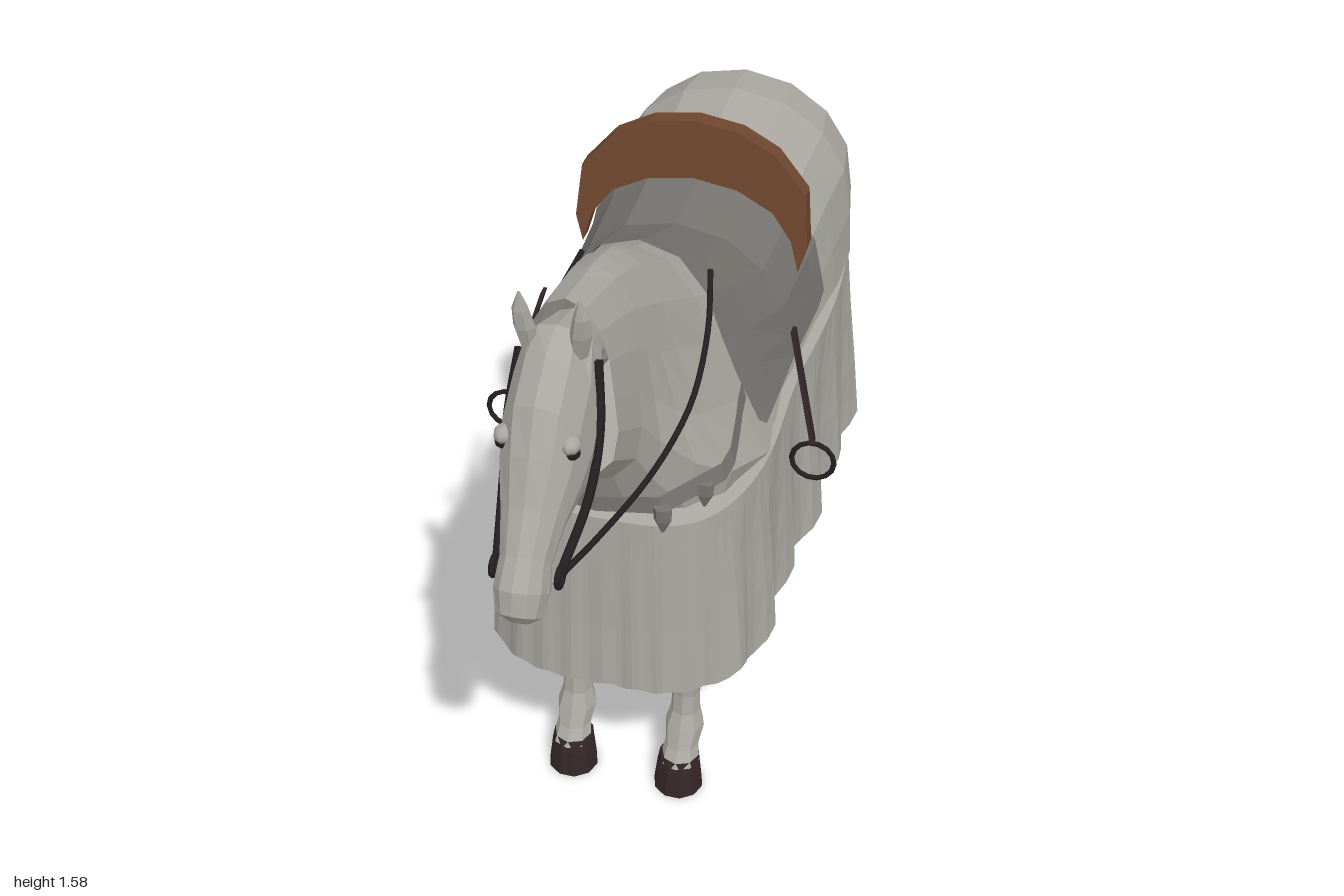
import * as THREE from 'three';

const mat = (name, color) => {
  const m = new THREE.MeshStandardMaterial({ color, side: THREE.DoubleSide });
  m.name = name;
  return m;
};
const V = (x, y, z) => new THREE.Vector3(x, y, z);

// Faceted skin over rows of points; closed rows wrap round, capped rows are filled at both ends.
function skin(rows, closed = true, caps = closed) {
  const pos = [];
  const tri = (a, b, c) => pos.push(...a.toArray(), ...b.toArray(), ...c.toArray());
  const n = rows[0].length;
  for (let i = 0; i < rows.length - 1; i++) {
    for (let j = 0; j < (closed ? n : n - 1); j++) {
      const k = (j + 1) % n, a = rows[i][j], b = rows[i][k], c = rows[i + 1][k], d = rows[i + 1][j];
      tri(a, b, c);
      tri(a, c, d);
    }
  }
  if (caps) {
    const first = rows[0], last = rows[rows.length - 1];
    for (let j = 1; j < n - 1; j++) {
      tri(first[0], first[j + 1], first[j]);
      tri(last[0], last[j], last[j + 1]);
    }
  }
  // Turn the faces outward
  let vol = 0;
  const A = V(), B = V(), C = V();
  for (let i = 0; i < pos.length; i += 9) {
    A.fromArray(pos, i); B.fromArray(pos, i + 3); C.fromArray(pos, i + 6);
    vol += A.dot(B.cross(C));
  }
  if (vol < 0) {
    for (let i = 0; i < pos.length; i += 9) {
      for (let k = 0; k < 3; k++) [pos[i + 3 + k], pos[i + 6 + k]] = [pos[i + 6 + k], pos[i + 3 + k]];
    }
  }
  const g = new THREE.BufferGeometry();
  g.setAttribute('position', new THREE.Float32BufferAttribute(pos, 3));
  g.computeVertexNormals();
  return g;
}

// Horizontal ring for legs, hooves and tail
const ring = (x, y, z, rx, rz, n = 8) => Array.from({ length: n }, (_, i) => {
  const a = (i / n) * Math.PI * 2;
  return V(x + rx * Math.cos(a), y, z + rz * Math.sin(a));
});

// Body stations: z, top, bottom, upper half width, lower half width
const BODY = [
  [0.645, 1.52, 1.11, 0.085, 0.095], [0.54, 1.5, 1.03, 0.1, 0.11], [0.48, 1.49, 0.92, 0.108, 0.13],
  [0.42, 1.475, 0.8, 0.118, 0.185], [0.35, 1.45, 0.72, 0.13, 0.24], [0.2, 1.36, 0.68, 0.165, 0.28],
  [0.08, 1.3, 0.66, 0.2, 0.283], [-0.1, 1.22, 0.66, 0.24, 0.275], [-0.3, 1.225, 0.68, 0.25, 0.28],
  [-0.45, 1.28, 0.7, 0.267, 0.288], [-0.6, 1.295, 0.72, 0.28, 0.29], [-0.72, 1.28, 0.74, 0.26, 0.265],
  [-0.82, 1.22, 0.76, 0.213, 0.218], [-0.885, 1.13, 0.8, 0.145, 0.152], [-0.925, 1.03, 0.87, 0.065, 0.075],
  [-0.93, 0.98, 0.94, 0.01, 0.01],
];
const T = [0, 0.04, 0.15, 0.3, 0.5, 0.68, 0.85, 0.97, 1];

function station(z) {
  const i = Math.max(1, BODY.findIndex((r) => r[0] <= z));
  const a = BODY[i - 1], b = BODY[i], f = (a[0] - z) / (a[0] - b[0]);
  return a.map((v, k) => v + (b[k] - v) * f);
}
function halfWidth([, , , u, l], t) {
  const w = [0, 0.42 * u, 0.75 * u, 0.95 * u, 0.6 * u + 0.4 * l, l, 0.88 * l, 0.45 * l, 0];
  const i = Math.max(1, T.findIndex((v) => v >= t));
  return w[i - 1] + ((w[i] - w[i - 1]) * (t - T[i - 1])) / (T[i] - T[i - 1]);
}

export function createModel() {
  const grey = mat('pale grey', 0xa9a79f);
  const dark = mat('dark grey cloth', 0x777470);
  const hoof = mat('dark hoof', 0x332527);
  const leather = mat('brown leather', 0x6e462e);
  const tack = mat('black tack', 0x241f21);
  const model = new THREE.Group();
  const add = (name, geo, material, parent = model) => {
    const m = new THREE.Mesh(geo, material);
    m.name = name;
    parent.add(m);
    return m;
  };
  const tube = (pts, r) => new THREE.TubeGeometry(new THREE.CatmullRomCurve3(pts), 24, r, 6);

  // Body and neck cover, open behind the head
  add('body', skin(BODY.map((r) => {
    const at = (t, s) => V(s * halfWidth(r, t), r[1] + (r[2] - r[1]) * t, r[0]);
    return [...T.map((t) => at(t, 1)), ...T.slice(1, -1).reverse().map((t) => at(t, -1))];
  }), true, false), grey);

  // Saddle cloth hugging the back, with rounded lower corners
  add('saddleCloth', skin([[0.18, 0.96], [0.155, 0.935], [0.08, 0.93], [-0.1, 0.93], [-0.3, 0.93], [-0.345, 0.95]]
    .map(([z, hem]) => {
      const r = station(z), end = (r[1] - hem) / (r[1] - r[2]);
      const half = [0, 0.04, 0.15, 0.3, 0.42, end];
      const at = (t, s) => V(s * (halfWidth(r, t) + (t ? 0.012 : 0)), r[1] + (r[2] - r[1]) * t + 0.01 * (1 - t), z);
      return [...half.slice(1).reverse().map((t) => at(t, -1)), ...half.map((t) => at(t, 1))];
    }), false), dark);

  // Pleated skirt: squarer in front, rounder behind, drawn in at the girth
  const outline = [];
  for (let i = 0; i < 240; i++) {
    const a = (i / 240) * Math.PI * 2, c = Math.cos(a), s = Math.sin(a), e = s > 0 ? 0.54 : 0.64;
    outline.push(V(Math.sign(c) * Math.abs(c) ** e, 0, Math.sign(s) * Math.abs(s) ** e * 0.705));
  }
  const N = 144;
  const plan = new THREE.CatmullRomCurve3(outline, true).getSpacedPoints(N).slice(0, N);
  // Rows: height, half width, length scale, pleat depth
  const skirtRows = [[0.905, 0.24, 0.88, 0], [0.89, 0.3, 0.995, 0], [0.76, 0.308, 1, 0.01],
    [0.6, 0.319, 1.005, 0.018], [0.445, 0.327, 1.015, 0.024]];
  add('skirt', skin(skirtRows.map(([y, w, l, d], k) => plan.map((p, i) => {
    const side = THREE.MathUtils.smoothstep(Math.abs(p.x), 0.5, 0.95);
    const girth = 1 - 0.06 * Math.exp(-(((p.z - 0.16) / 0.2) ** 2));
    const fold = Math.sin(i * 1.27) * 0.65 + Math.sin(i * 0.47 + 1) * 0.4;
    const drop = k === 4 ? 0.014 * (0.3 + 0.7 * side) * Math.sin(i * 1.27 + 0.6) : 0;
    return V(p.x * (w * girth + side * d * fold), y + drop, -0.213 + p.z * l + (1 - side) * d * fold * 0.2);
  })), true, false), grey);

  // Chest strap following the shoulders, then crossing the chest
  const hug = (z, y) => {
    const r = station(z);
    return [halfWidth(r, (r[1] - y) / (r[1] - r[2])) + 0.016, y, z];
  };
  const strap = [0, 1, 2, 3, 4, 5, 6].map((i) => hug(0.18 + i * 0.04, 1.035 - i * 0.012));
  strap.push([0.13, 0.945, 0.482], [0, 0.935, 0.497]);
  const path = [...strap, ...strap.slice(0, -1).reverse().map(([x, y, z]) => [-x, y, z])];
  add('chestStrap', skin([0.02, -0.02].map((d) => path.map(([x, y, z]) => V(x - Math.sign(x) * d * 0.25, y + d, z))), false), dark);

  // Head: front and back edge of each slice, then half width
  const HEAD = [
    [0.6, 1.47, 0.52, 1.28, 0.055],
    [0.7, 1.5, 0.62, 1.36, 0.07], [0.76, 1.475, 0.64, 1.2, 0.083], [0.83, 1.415, 0.7, 1.15, 0.084],
    [0.87, 1.33, 0.76, 1.15, 0.076], [0.905, 1.245, 0.825, 1.135, 0.06], [0.95, 1.17, 0.868, 1.09, 0.048],
    [0.99, 1.12, 0.88, 1.05, 0.052], [0.998, 1.07, 0.92, 1.017, 0.044], [0.975, 1.035, 0.945, 1.015, 0.02],
  ];
  add('head', skin(HEAD.map(([fz, fy, bz, by, w]) => Array.from({ length: 12 }, (_, i) => {
    const a = (i / 12) * Math.PI * 2, f = (1 + Math.cos(a)) / 2;
    return V(w * Math.sin(a), by + (fy - by) * f, bz + (fz - bz) * f);
  }))), grey);

  // Legs: height, z, half width, half depth
  const FRONT = [[0.75, 0.25, 0.08, 0.1], [0.5, 0.26, 0.06, 0.058], [0.42, 0.262, 0.048, 0.045],
    [0.36, 0.262, 0.042, 0.04], [0.24, 0.264, 0.032, 0.033], [0.19, 0.268, 0.034, 0.035],
    [0.15, 0.275, 0.045, 0.046], [0.11, 0.298, 0.038, 0.04], [0.075, 0.318, 0.045, 0.045]];
  const REAR = [[0.8, -0.68, 0.1, 0.13], [0.58, -0.74, 0.06, 0.075], [0.46, -0.722, 0.05, 0.056],
    [0.38, -0.708, 0.041, 0.044], [0.26, -0.696, 0.033, 0.036], [0.2, -0.69, 0.035, 0.037],
    [0.15, -0.685, 0.045, 0.048], [0.11, -0.663, 0.038, 0.04], [0.075, -0.643, 0.045, 0.045]];

  for (const s of [1, -1]) {
    const side = s > 0 ? 'left' : 'right';
    for (const [name, rows] of [['FrontLeg', FRONT], ['RearLeg', REAR]]) {
      const z = rows[8][1];
      add(side + name, skin(rows.map(([y, rz, w, d]) => ring(s * 0.128, y, rz, w, d))), grey);
      add(side + name + 'Hoof', skin([ring(s * 0.126, 0.086, z - 0.006, 0.046, 0.045, 10),
        ring(s * 0.126, 0.06, z, 0.05, 0.05, 10), ring(s * 0.126, 0, z + 0.004, 0.057, 0.057, 10)]), hoof);
    }

    // Ear
    add(side + 'Ear', skin([[1.45, 0.047, 0.015], [1.5, 0.052, 0.021], [1.54, 0.056, 0.016], [1.58, 0.055, 0.002]]
      .map(([y, x, r], i) => ring(s * x, y, 0.71 + i * 0.007, r, r, 6))), grey);

    // Eye under a brow
    const eye = add(side + 'Eye', new THREE.SphereGeometry(0.016, 8, 6), tack);
    eye.position.set(s * 0.064, 1.322, 0.822);
    const brow = add(side + 'Brow', new THREE.SphereGeometry(0.024, 8, 6), grey);
    brow.position.set(s * 0.062, 1.336, 0.82);
    brow.scale.set(0.8, 0.7, 1);

    // Bridle, bit ring and rein
    add(side + 'CheekStrap', tube([V(s * 0.074, 1.43, 0.69), V(s * 0.087, 1.31, 0.73), V(s * 0.082, 1.2, 0.785),
      V(s * 0.06, 1.1, 0.9)], 0.009), tack);
    const bit = add(side + 'BitRing', new THREE.TorusGeometry(0.019, 0.006, 6, 12), tack);
    bit.position.set(s * 0.062, 1.1, 0.905);
    bit.rotation.y = Math.PI / 2;
    add(side + 'Rein', tube([V(s * 0.062, 1.1, 0.9), V(s * 0.09, 1.08, 0.75), V(s * 0.125, 1.07, 0.56),
      V(s * 0.152, 1.105, 0.46), V(s * 0.168, 1.15, 0.38), V(s * 0.162, 1.22, 0.25), V(s * 0.135, 1.28, 0.13)], 0.006), tack);

    // Stirrup leather and ring
    const top = V(s * 0.278, 1.055, -0.03), low = V(s * 0.345, 0.82, 0.04);
    add(side + 'StirrupLeather', skin([top, low].map((p) => [[1, 1], [1, -1], [-1, -1], [-1, 1]]
      .map(([a, b]) => V(p.x + a * 0.004, p.y, p.z + b * 0.012)))), hoof);
    const stirrup = add(side + 'Stirrup', new THREE.TorusGeometry(0.047, 0.006, 6, 14), tack);
    stirrup.position.set(s * 0.347, 0.77, 0.04);

    // Strap pendants
    for (const [x, y, z] of [[0.135, 0.945, 0.488], hug(0.41, 0.965)]) {
      add(side + 'Pendant', skin([ring(s * x, y, z, 0.02, 0.014, 6), ring(s * x, y - 0.03, z, 0.018, 0.014, 6),
        ring(s * x, y - 0.06, z, 0.004, 0.004, 6)]), dark);
    }
  }

  // Curved saddle back, leaning to the rear
  const shape = new THREE.Shape();
  [[-0.245, 1.08], [-0.262, 1.14], [-0.25, 1.26], [-0.18, 1.34], [-0.1, 1.38], [0, 1.395], [0.1, 1.38],
    [0.18, 1.34], [0.25, 1.26], [0.262, 1.14], [0.245, 1.08], [0.225, 1.15], [0.18, 1.21], [0.1, 1.25],
    [0, 1.265], [-0.1, 1.25], [-0.18, 1.21], [-0.225, 1.15]]
    .forEach(([x, y], i) => (i ? shape.lineTo(x, y) : shape.moveTo(x, y)));
  const cantle = new THREE.ExtrudeGeometry(shape, { depth: 0.04, bevelEnabled: false });
  const p = cantle.attributes.position;
  for (let i = 0; i < p.count; i++) p.setZ(i, p.getZ(i) - 0.25 - (p.getY(i) - 1.08) * 0.13);
  cantle.computeVertexNormals();
  add('saddleBack', cantle, leather);

  // Tail strands
  const tail = new THREE.Group();
  tail.name = 'tail';
  model.add(tail);
  [[0, 0.19, -0.985], [-0.03, 0.2, -0.965], [0.03, 0.22, -0.97], [-0.012, 0.32, -0.945], [0.018, 0.19, -0.945]]
    .forEach(([x, end, z]) => add('tailStrand', skin([
      ring(x * 0.8, 1.035, -0.93, 0.014, 0.018, 5), ring(x, 0.9, (z - 0.94) / 2, 0.018, 0.018, 5),
      ring(x, 0.6, z + 0.008, 0.019, 0.015, 5), ring(x * 1.1, end, z - 0.004, 0.015, 0.012, 5)]), grey, tail));

  return model;
}
